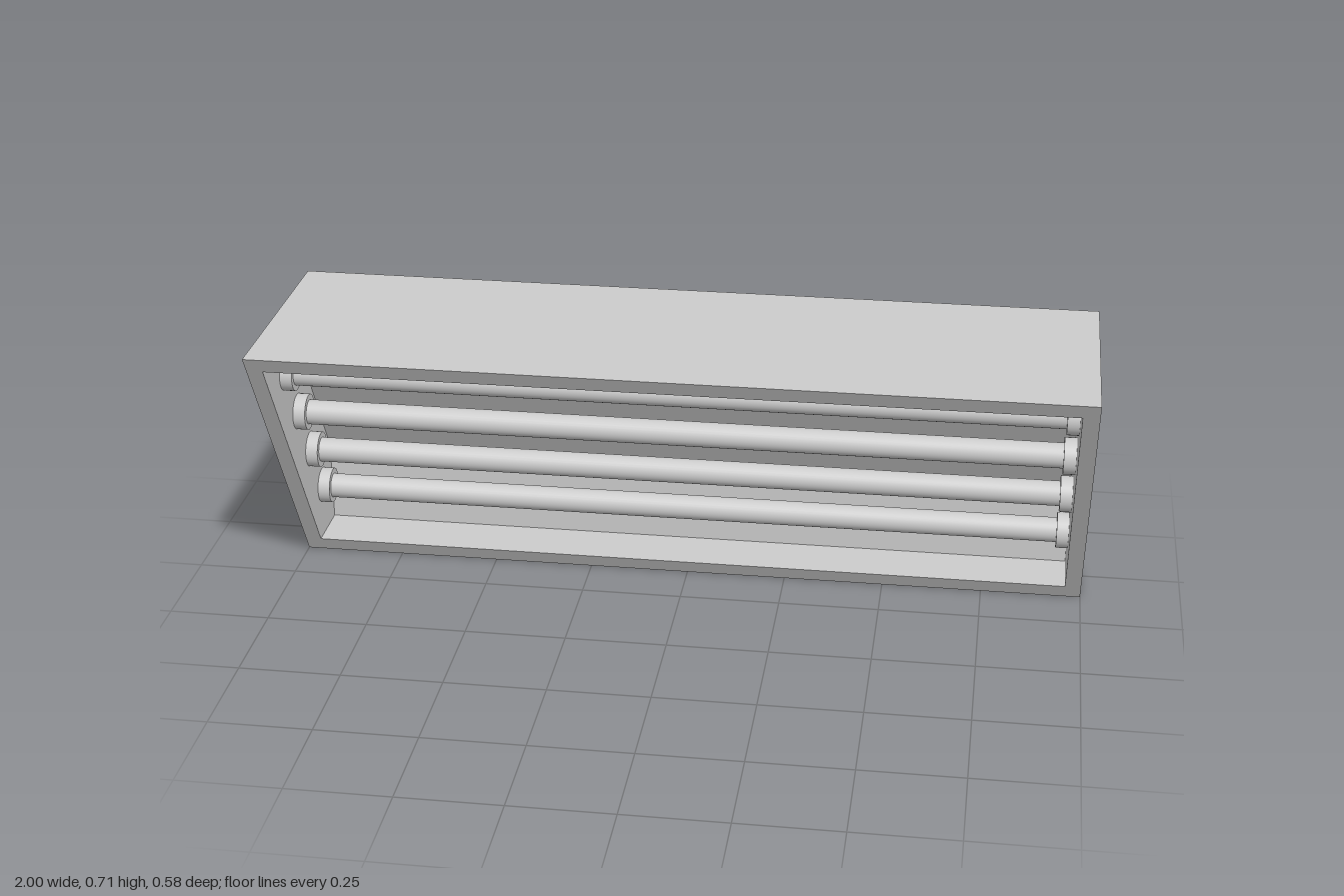
import * as THREE from 'three';

const H = 0.715, BACK = -0.29, WALL = 0.04, HALF = 1;
// z of the sloping front plane at height y
const frontZ = (y) => -0.135 + (0.425 / H) * y;

export function createModel() {
  const group = new THREE.Group();
  const grey = new THREE.MeshStandardMaterial({ color: 0xcccccc });
  grey.name = 'light grey';

  const add = (name, geometry, x, y, z) => {
    const mesh = new THREE.Mesh(geometry, grey);
    mesh.name = name;
    mesh.position.set(x, y, z);
    group.add(mesh);
  };

  // Extrude a [z, y] profile along x, centred on x = 0
  const extrudeX = (points, width) => {
    const shape = new THREE.Shape(points.map(([z, y]) => new THREE.Vector2(z, y)));
    return new THREE.ExtrudeGeometry(shape, { depth: width, bevelEnabled: false })
      .translate(0, 0, -width / 2)
      .rotateY(-Math.PI / 2);
  };

  // Housing: trough with a short upright back and a sloping reflector panel
  const low = WALL, high = H - WALL, bend = 0.245;
  const backIn = BACK + WALL;
  const reflectorOffset = frontZ(bend) - backIn;
  const trough = [
    [BACK, 0], [frontZ(0), 0], [frontZ(low), low], [backIn, low], [backIn, bend],
    [frontZ(high) - reflectorOffset, high], [frontZ(high), high], [frontZ(H), H], [BACK, H],
  ];
  add('housing', extrudeX(trough, 2 * (HALF - WALL)), 0, 0, 0);

  // End walls
  const endProfile = [[BACK, 0], [frontZ(0), 0], [frontZ(H), H], [BACK, H]];
  for (const side of [-1, 1]) {
    add(side > 0 ? 'leftEndWall' : 'rightEndWall', extrudeX(endProfile, WALL), side * (HALF - WALL / 2), 0, 0);
  }

  // Lamp tubes with a round socket at each end, stepped along the slope
  const capWidth = 0.03, inner = HALF - WALL;
  const tube = new THREE.CylinderGeometry(0.031, 0.031, 2 * (inner - capWidth), 32, 1, true).rotateZ(Math.PI / 2);
  const cap = new THREE.CylinderGeometry(0.045, 0.045, capWidth, 32).rotateZ(Math.PI / 2);
  for (let i = 0; i < 4; i++) {
    const y = 0.174 + i * 0.1425;
    const z = frontZ(y) - 0.128;
    add('lampTube', tube, 0, y, z);
    for (const side of [-1, 1]) add('lampSocket', cap, side * (inner - capWidth / 2), y, z);
  }
  return group;
}
